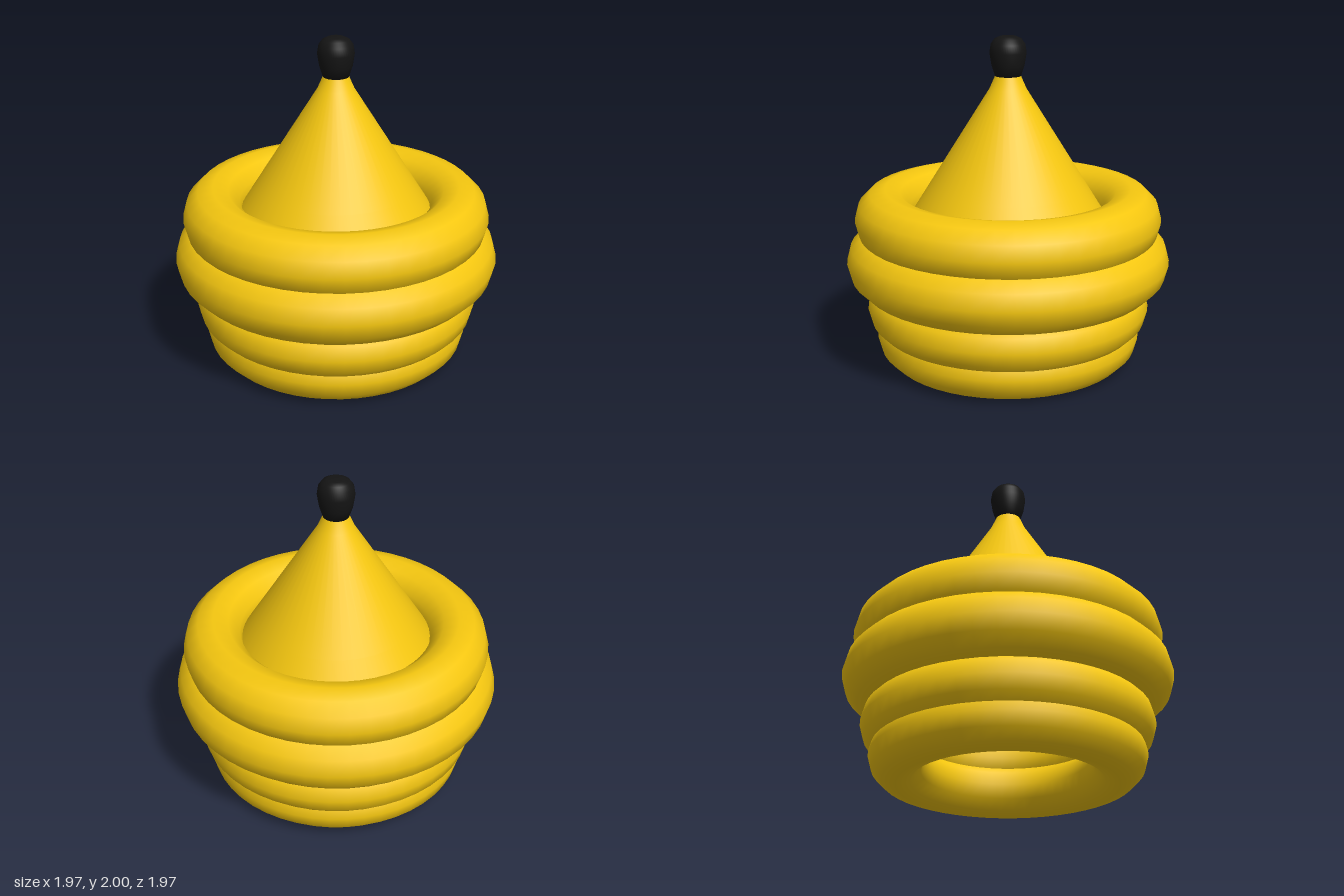
import * as THREE from 'three';

const yellow = new THREE.MeshStandardMaterial({ color: 0xf5c710 });
const black = new THREE.MeshStandardMaterial({ color: 0x141414 });

// Smooth surface of revolution from [radius, height] pairs, bottom to top
function lathe(name, points, material) {
  const profile = points.map(([r, y]) => new THREE.Vector2(r, y));
  const mesh = new THREE.Mesh(new THREE.LatheGeometry(profile, 48), material);
  mesh.name = name;
  return mesh;
}

export function createModel() {
  const group = new THREE.Group();
  group.name = 'ringedCone';

  // Stacked rings: ring radius, tube radius, centre height
  const rings = [
    [0.645, 0.165, 0.165],
    [0.695, 0.17, 0.35],
    [0.795, 0.19, 0.645],
    [0.745, 0.185, 0.905],
  ];
  rings.forEach(([radius, tube, y], i) => {
    const geometry = new THREE.TorusGeometry(radius, tube, 12, 48).rotateX(Math.PI / 2);
    const ring = new THREE.Mesh(geometry, yellow);
    ring.name = `ring${i + 1}`;
    ring.position.y = y;
    group.add(ring);
  });

  // Cone rising from inside the top ring, with a slightly flared neck
  group.add(lathe('cone', [[0.635, 0.85], [0.485, 1.09], [0.11, 1.69], [0.075, 1.77]], yellow));

  // Underside of the cone
  const base = new THREE.Mesh(new THREE.CircleGeometry(0.635, 48).rotateX(Math.PI / 2), yellow);
  base.name = 'coneBase';
  base.position.y = 0.85;
  group.add(base);

  // Rounded knob at the tip
  group.add(lathe('knob', [
    [0, 1.76], [0.075, 1.76], [0.098, 1.83], [0.11, 1.905],
    [0.102, 1.955], [0.08, 1.985], [0.05, 2], [0, 2],
  ], black));

  return group;
}
